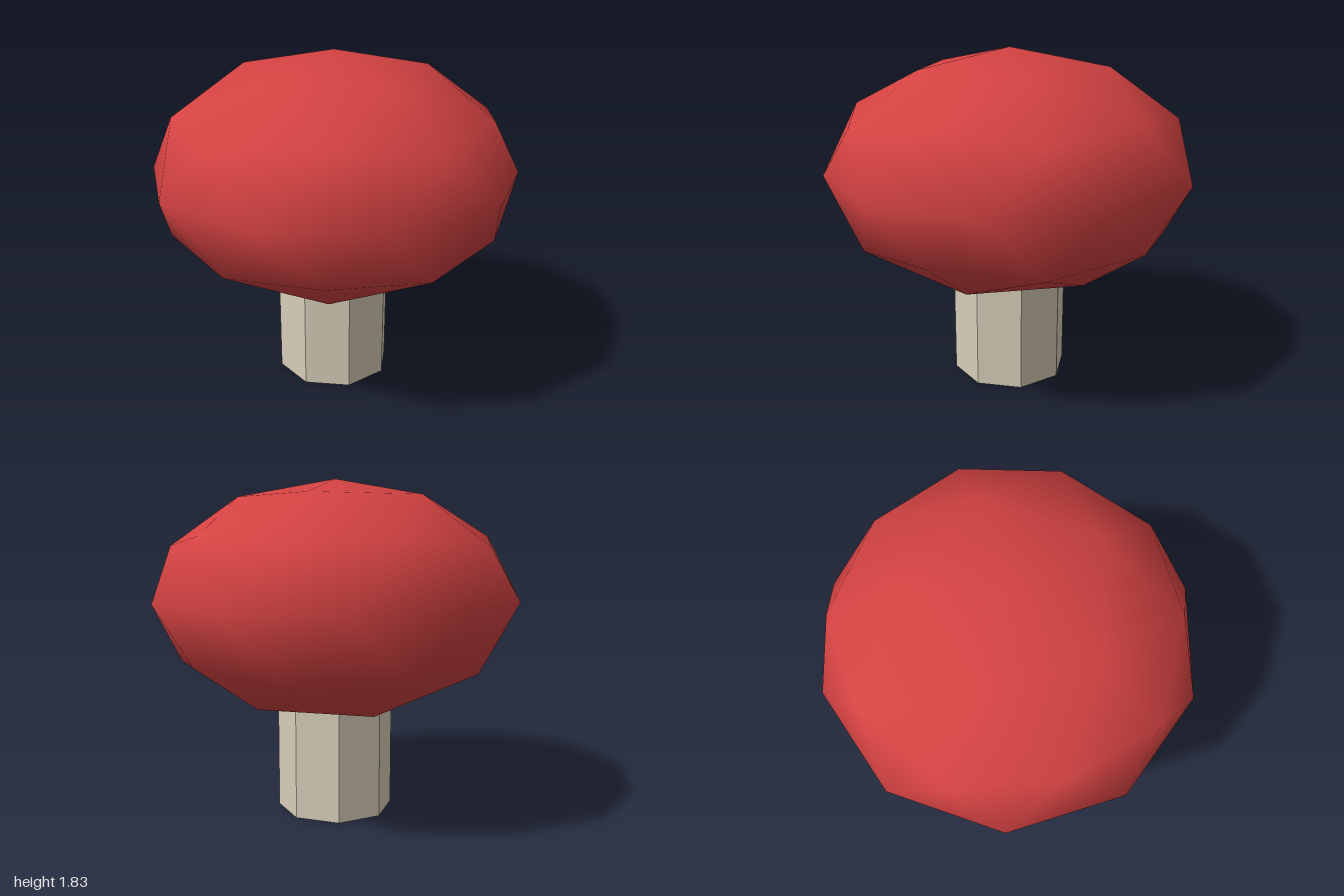
import * as THREE from 'three';
import { mergeVertices } from 'three/addons/utils/BufferGeometryUtils.js';

const capRed = new THREE.MeshStandardMaterial({ color: 0xd44242 });
capRed.name = 'capRed';
const stemCream = new THREE.MeshStandardMaterial({ color: 0xd7cdb9, flatShading: true });
stemCream.name = 'stemCream';

// Once-subdivided icosphere, tipped so one of its points is the top, then squashed
function makeCap() {
  let geo = new THREE.IcosahedronGeometry(1, 1);
  geo.rotateZ(-Math.atan(2 / (1 + Math.sqrt(5))));
  geo.scale(1, 0.65, 1);
  // Share the corners so the shading is smooth
  geo.deleteAttribute('uv');
  geo.deleteAttribute('normal');
  geo = mergeVertices(geo, 1e-4);
  geo.computeVertexNormals();
  const cap = new THREE.Mesh(geo, capRed);
  cap.name = 'cap';
  cap.position.y = 1.18;
  return cap;
}

// Eight-sided stem, its upper end hidden inside the cap
function makeStem() {
  const height = 0.8;
  const stem = new THREE.Mesh(new THREE.CylinderGeometry(0.32, 0.32, height, 8), stemCream);
  stem.name = 'stem';
  stem.position.y = height / 2;
  return stem;
}

export function createModel() {
  const mushroom = new THREE.Group();
  mushroom.name = 'mushroom';
  mushroom.add(makeCap(), makeStem());
  return mushroom;
}
